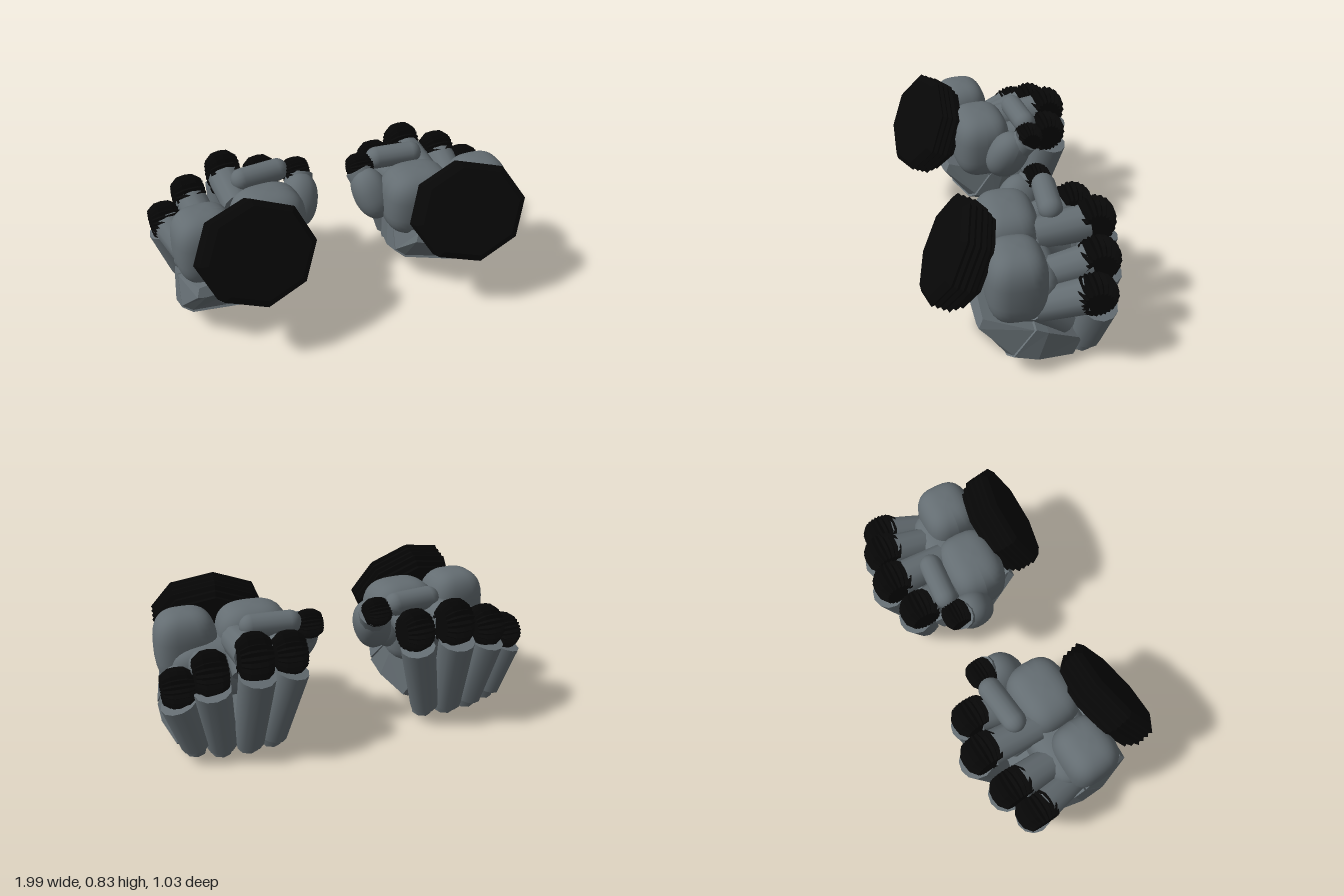
import * as THREE from 'three';

const V = (x, y, z) => new THREE.Vector3(x, y, z);
const UP = V(0, 1, 0);

export function createModel() {
  const armour = new THREE.MeshStandardMaterial({ color: 0x646d72 });
  armour.name = 'slate grey';
  const rubber = new THREE.MeshStandardMaterial({ color: 0x070707 });
  rubber.name = 'black rubber';

  const flat = (geo) => {
    const g = geo.index ? geo.toNonIndexed() : geo;
    g.computeVertexNormals();
    return g;
  };

  const add = (parent, name, geo, mat) => {
    const m = new THREE.Mesh(geo, mat);
    m.name = name;
    parent.add(m);
    return m;
  };

  // tapered segment between two points
  const segment = (parent, name, a, b, ra, rb, sides = 12) => {
    const d = b.clone().sub(a);
    const m = add(parent, name, new THREE.CylinderGeometry(rb, ra, d.length(), sides), armour);
    m.position.copy(a).addScaledVector(d, 0.5);
    m.quaternion.setFromUnitVectors(UP, d.normalize());
    return m;
  };

  // sphere pushed towards a box shape
  const pad = (parent, name, c, r, power) => {
    const geo = new THREE.SphereGeometry(1, 28, 20);
    const p = geo.attributes.position;
    const f = (v) => Math.sign(v) * Math.pow(Math.abs(v), power);
    for (let i = 0; i < p.count; i++) {
      p.setXYZ(i, f(p.getX(i)) * r.x, f(p.getY(i)) * r.y, f(p.getZ(i)) * r.z);
    }
    geo.computeVertexNormals();
    const m = add(parent, name, geo, armour);
    m.position.copy(c);
    return m;
  };

  // pleated knuckle with its axis across the hand: height radius, depth radius, half width
  const pleats = (parent, name, c, ry, rz, w) => {
    const prof = [[0, -1], [0.7, -1], [0.96, -0.5], [1, 0], [0.96, 0.5], [0.7, 1], [0, 1]];
    const geo = new THREE.LatheGeometry(prof.map(([q, h]) => new THREE.Vector2(q, h * w)), 44);
    const p = geo.attributes.position;
    for (let i = 0; i < p.count; i++) {
      const k = Math.floor(i / prof.length) % 2 ? 0.84 : 1;
      p.setXYZ(i, p.getX(i) * k * ry, p.getY(i), p.getZ(i) * k * rz);
    }
    const m = add(parent, name, flat(geo), rubber);
    m.rotation.z = Math.PI / 2;
    m.position.copy(c);
    return m;
  };

  // faceted shell, dipping to the outer side: each row is [low z, low y, top z, top y, half width]
  const plate = (parent, name, cx, rows) => {
    const pos = [];
    const rings = rows.map(([lz, ly, tz, ty, w]) => {
      const at = (x, t) => V(cx + x * w, ly + (ty - ly) * t - x * w * 0.08, lz + (tz - lz) * t);
      return [at(-0.93, 1), at(-1, 0.36), at(-0.85, 0.2), at(0, 0), at(0.85, 0.2), at(1, 0.36), at(0.93, 1)];
    });
    const tri = (...v) => v.forEach((q) => pos.push(q.x, q.y, q.z));
    const n = 7;
    for (let i = 0; i + 1 < rings.length; i++) {
      for (let j = 0; j < n; j++) {
        const a = rings[i], b = rings[i + 1], k = (j + 1) % n;
        tri(a[j], b[j], b[k]);
        tri(a[j], b[k], a[k]);
      }
    }
    const last = rings[rings.length - 1];
    for (let j = 1; j < n - 1; j++) {
      tri(rings[0][0], rings[0][j], rings[0][j + 1]);
      tri(last[0], last[j + 1], last[j]);
    }
    const geo = new THREE.BufferGeometry();
    geo.setAttribute('position', new THREE.Float32BufferAttribute(pos, 3));
    geo.computeVertexNormals();
    return add(parent, name, geo, armour);
  };

  function hand(name) {
    const g = new THREE.Group();
    g.name = name;

    // ridged eight-sided cuff, narrower towards the palm
    const prof = [[0, -0.19], [0.2, -0.19]];
    for (let i = 0; i <= 10; i++) prof.push([(i % 2 ? 0.26 : 0.272) + Math.min(0, i - 4) * 0.009, -0.18 + i * 0.0155]);
    prof.push([0.238, 0], [0, 0]);
    const cuff = add(g, 'cuff', flat(new THREE.LatheGeometry(prof.map(([r, h]) => new THREE.Vector2(r, h)), 8)), rubber);
    cuff.scale.x = 1.15;
    cuff.position.set(0.6, 0.567, 0.4);
    cuff.quaternion.setFromUnitVectors(UP, V(-0.09, 0.46, 0.87).normalize());

    // palm
    pad(g, 'palmCore', V(0.61, 0.37, 0.02), V(0.29, 0.16, 0.17), 0.6);
    pad(g, 'outerPalmPad', V(0.79, 0.475, 0.075), V(0.165, 0.2, 0.15), 0.68);
    pad(g, 'innerPalmPad', V(0.435, 0.485, 0.05), V(0.195, 0.19, 0.16), 0.68);

    // back of the hand
    plate(g, 'wristPlate', 0.63, [
      [0.285, 0.3, 0.25, 0.36, 0.28], [0.175, 0.1, 0.01, 0.29, 0.33]]);
    plate(g, 'handPlate', 0.63, [
      [0.175, 0.08, 0.0, 0.29, 0.33], [0.02, 0.035, -0.06, 0.26, 0.33], [-0.17, 0.025, -0.24, 0.15, 0.285]]);

    // fingers: base, top of lower segment, knuckle, inner end, radius, knuckle height and depth
    const fingers = [
      ['index', V(0.43, 0.06, -0.285), V(0.335, 0.45, -0.35), V(0.335, 0.53, -0.315), V(0.4, 0.5, -0.06), 0.092, 0.118, 0.112],
      ['middle', V(0.56, 0.06, -0.305), V(0.53, 0.48, -0.415), V(0.53, 0.56, -0.375), V(0.55, 0.53, -0.07), 0.096, 0.135, 0.115],
      ['ring', V(0.7, 0.06, -0.295), V(0.745, 0.42, -0.375), V(0.745, 0.495, -0.34), V(0.73, 0.42, -0.05), 0.094, 0.12, 0.115],
      ['little', V(0.83, 0.08, -0.28), V(0.905, 0.345, -0.31), V(0.9, 0.415, -0.285), V(0.85, 0.34, -0.02), 0.093, 0.102, 0.115],
    ];
    for (const [id, base, top, joint, inner, r, ry, rz] of fingers) {
      const f = new THREE.Group();
      f.name = id + 'Finger';
      g.add(f);
      segment(f, 'lowerSegment', base, top, r * 0.83, r);
      segment(f, 'baseKnuckle', V(base.x, base.y - 0.055, base.z + 0.03), V(base.x, base.y + 0.05, base.z + 0.01),
        r * 0.6, r * 0.72, 8);
      pleats(f, 'pleatedKnuckle', joint, ry, rz, r * 0.86);
      segment(f, 'upperSegment', inner, joint.clone().lerp(inner, 0.12), r * 0.85, r * 0.97);
      // curled tip tucked into the palm
      segment(f, 'fingertip', V(inner.x, inner.y - 0.13, inner.z - 0.15), inner, r * 0.65, r * 0.8);
    }

    // thumb folded over the fingers
    const thumb = new THREE.Group();
    thumb.name = 'thumb';
    g.add(thumb);
    const root = pad(thumb, 'thumbBase', V(0.215, 0.49, -0.055), V(0.1, 0.15, 0.11), 0.9);
    root.rotation.set(-0.4, 0, 0.3);
    segment(thumb, 'thumbLower', V(0.24, 0.43, -0.03), V(0.17, 0.6, -0.15), 0.085, 0.075);
    pleats(thumb, 'thumbKnuckle', V(0.185, 0.605, -0.165), 0.078, 0.078, 0.066);
    const tip = add(thumb, 'thumbTip', new THREE.CapsuleGeometry(0.062, 0.2, 8, 16), armour);
    tip.position.set(0.39, 0.635, -0.17);
    tip.rotation.set(0, -0.06, Math.PI / 2);
    return g;
  }

  const model = new THREE.Group();
  model.name = 'armouredFists';
  const left = hand('leftHand');
  // mirrored hand, turned slightly inward and held a little higher
  const right = hand('rightHand');
  right.scale.x = -1;
  right.rotation.y = 0.09;
  right.position.set(0.02, 0.03, -0.055);
  model.add(left, right);
  return model;
}
